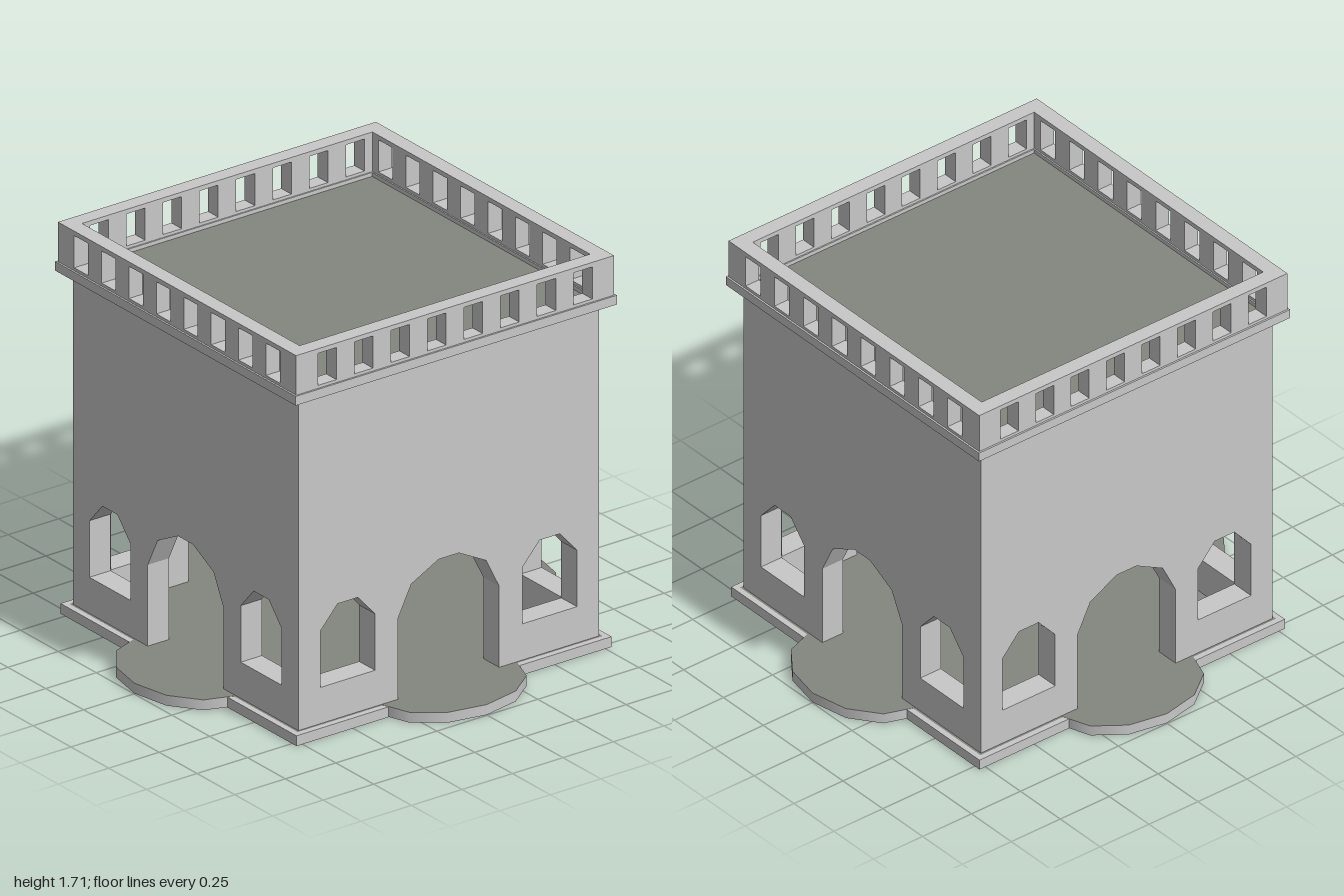
import * as THREE from 'three';

const stone = new THREE.MeshStandardMaterial({ color: 0xc8c8c8 });
stone.name = 'pale stone';
const paving = new THREE.MeshStandardMaterial({ color: 0x84867f });
paving.name = 'grey paving';

const WALL = 0.745, THICK = 0.105, EDGE = 0.79;

const path = (points, Type = THREE.Path) =>
  new Type(points.map(([x, y]) => new THREE.Vector2(x, y)));
const rect = (x0, y0, x1, y1) => [[x0, y0], [x1, y0], [x1, y1], [x0, y1]];

function add(parent, name, geometry, material) {
  const mesh = new THREE.Mesh(geometry, material);
  mesh.name = name;
  parent.add(mesh);
  return mesh;
}

// Upright panel whose outer face lies at z = outer
function panel(outline, holes, depth, outer) {
  const shape = path(outline, THREE.Shape);
  shape.holes = holes.map((h) => path(h));
  return new THREE.ExtrudeGeometry(shape, { depth, bevelEnabled: false })
    .translate(0, 0, outer - depth);
}

// Flat square frame between two heights
function squareFrame(outer, inner, y0, y1) {
  const shape = path(rect(-outer, -outer, outer, outer), THREE.Shape);
  shape.holes.push(path(rect(-inner, -inner, inner, inner)));
  return new THREE.ExtrudeGeometry(shape, { depth: y1 - y0, bevelEnabled: false })
    .rotateX(-Math.PI / 2).translate(0, y0, 0);
}

// Wall with a central doorway and two windows with cut corners
function wallGeometry(half) {
  const outline = [
    [-half, 0.04], [-0.25, 0.04], [-0.25, 0.4], [-0.185, 0.53], [-0.05, 0.6],
    [0.05, 0.6], [0.185, 0.53], [0.25, 0.4], [0.25, 0.04], [half, 0.04],
    [half, 1.51], [-half, 1.51],
  ];
  const windows = [-0.5, 0.5].map((c) => [
    [c - 0.135, 0.203], [c + 0.135, 0.203], [c + 0.135, 0.45],
    [c + 0.05, 0.545], [c - 0.05, 0.545], [c - 0.135, 0.45],
  ]);
  return panel(outline, windows, THICK, WALL);
}

// Parapet pierced by eight square openings
function parapetGeometry(half) {
  const holes = [];
  for (let i = 0; i < 8; i++) {
    const c = (i - 3.5) * 0.181;
    holes.push(rect(c - 0.046, 1.55, c + 0.046, 1.69));
  }
  return panel(rect(-half, 1.535, half, 1.71), holes, 0.068, EDGE - 0.003);
}

export function createModel() {
  const model = new THREE.Group();
  model.name = 'arcadedTower';

  // Base rim and floor
  add(model, 'baseRim', squareFrame(0.78, 0.755, 0, 0.045), stone);
  add(model, 'floor', new THREE.BoxGeometry(1.51, 0.045, 1.51).translate(0, 0.0225, 0), paving);

  // Four sides, alternately full width and fitted between their neighbours
  for (let i = 0; i < 4; i++) {
    const side = new THREE.Group();
    side.name = ['front', 'left', 'back', 'right'][i] + 'Side';
    side.rotation.y = i * Math.PI / 2;
    model.add(side);
    const fitted = i % 2 === 1;

    add(side, 'wall', wallGeometry(fitted ? WALL - THICK : WALL), stone);
    add(side, 'parapet', parapetGeometry(fitted ? EDGE - 0.071 : EDGE - 0.003), stone);

    // Rounded doorstep
    const step = new THREE.CylinderGeometry(1, 1, 0.045, 6, 1, false, -Math.PI / 2, Math.PI)
      .scale(0.335, 1, 0.25).translate(0, 0.0235, 0.748);
    add(side, 'doorstep', step, [stone, paving, stone]);
  }

  // Cornice and sunken roof
  add(model, 'cornice', squareFrame(0.795, 0.713, 1.497, 1.537), stone);
  add(model, 'roof', new THREE.BoxGeometry(1.44, 0.03, 1.44).translate(0, 1.505, 0), paving);

  return model;
}
